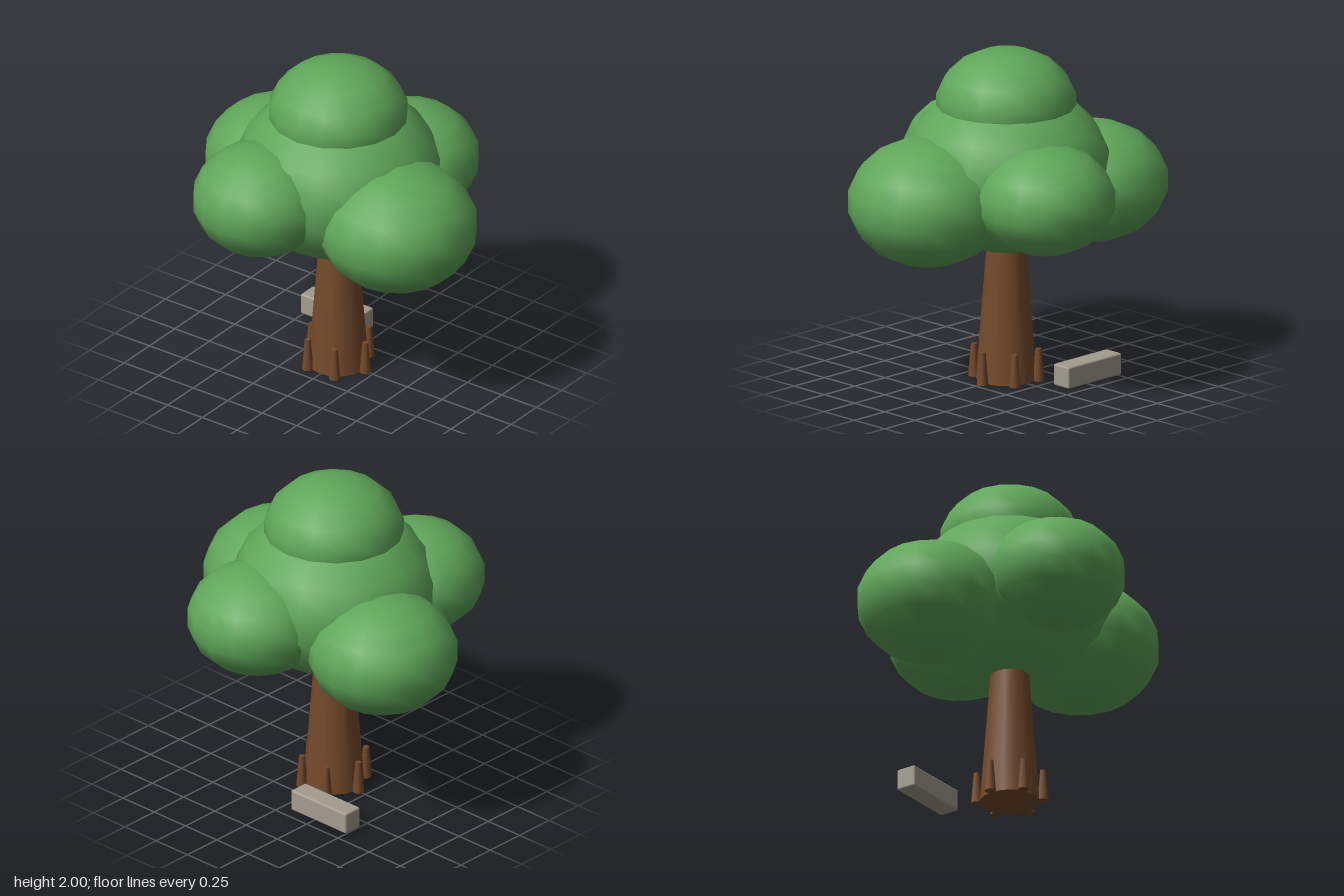
import * as THREE from 'three';
import { RoundedBoxGeometry } from 'three/addons/geometries/RoundedBoxGeometry.js';

export function createModel() {
  const tree = new THREE.Group();
  tree.name = 'tree';
  const leaf = new THREE.MeshStandardMaterial({ name: 'leafGreen', color: 0x5fa659 });
  const bark = new THREE.MeshStandardMaterial({ name: 'barkBrown', color: 0x744a2b });
  const stone = new THREE.MeshStandardMaterial({ name: 'stoneGrey', color: 0xa39c8f });

  const add = (name, geometry, material, x, y, z) => {
    const mesh = new THREE.Mesh(geometry, material);
    mesh.name = name;
    mesh.position.set(x, y, z);
    tree.add(mesh);
    return mesh;
  };

  // Tapered trunk, its top buried in the crown
  add('trunk', new THREE.CylinderGeometry(0.105, 0.177, 0.95, 16), bark, 0, 0.475, 0);

  // Six root stubs around the foot
  const rootGeometry = new THREE.CylinderGeometry(0.018, 0.034, 0.195, 8);
  for (let i = 0; i < 6; i++) {
    const a = (i * Math.PI) / 3;
    add('root', rootGeometry, bark, 0.195 * Math.cos(a), 0.0975, 0.195 * Math.sin(a));
  }

  // Flattened leaf clusters: name, radius, half height, centre
  const clusters = [
    ['crown', 0.614, 0.5, 0, 1.29, 0],
    ['topCluster', 0.415, 0.327, 0, 1.673, 0],
    ['leftCluster', 0.474, 0.379, 0.52, 1.153, 0.125],
    ['rightCluster', 0.444, 0.355, -0.548, 1.126, -0.168],
    ['frontCluster', 0.406, 0.33, -0.203, 1.255, 0.485],
    ['backCluster', 0.416, 0.326, 0.16, 1.218, -0.482],
  ];
  for (const [name, r, h, x, y, z] of clusters) {
    const geometry = new THREE.SphereGeometry(1, 16, 9);
    add(name, geometry, leaf, x, y, z).scale.set(r, h, r);
  }

  // Stone block lying behind the trunk
  add('stoneBlock', new RoundedBoxGeometry(0.44, 0.132, 0.126, 2, 0.012), stone, -0.29, 0.072, -0.382);

  return tree;
}
